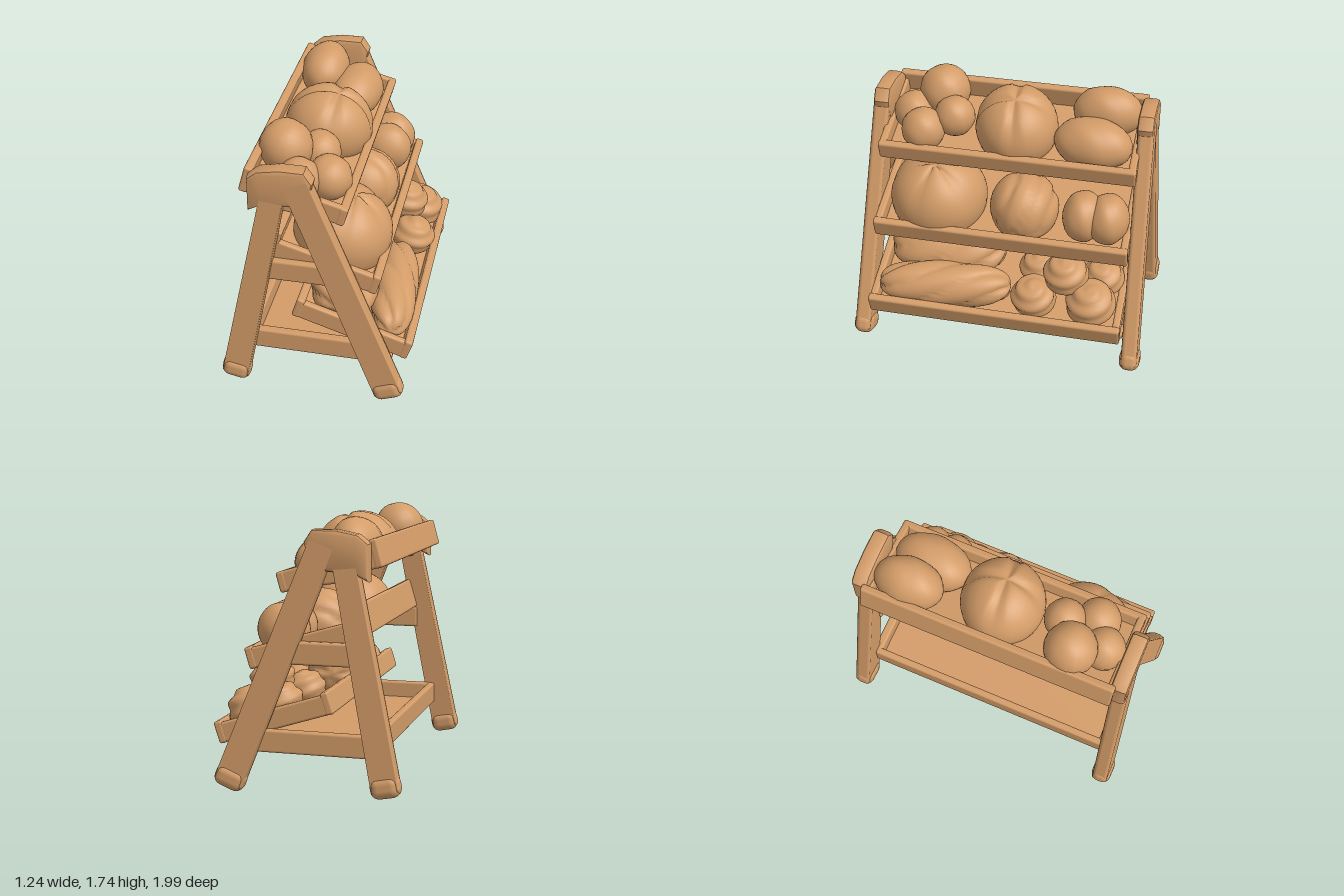
import * as THREE from 'three';
import { mergeVertices, toCreasedNormals } from 'three/addons/utils/BufferGeometryUtils.js';
import { RoundedBoxGeometry } from 'three/addons/geometries/RoundedBoxGeometry.js';

const clay = new THREE.MeshStandardMaterial({ color: 0xd39c68 });
clay.name = 'warm tan';

function add(parent, name, geometry, x = 0, y = 0, z = 0) {
  const mesh = new THREE.Mesh(geometry, clay);
  mesh.name = name;
  mesh.position.set(x, y, z);
  parent.add(mesh);
  return mesh;
}

const block = (w, h, d, r = 0.016) => new RoundedBoxGeometry(w, h, d, 2, r);

// Tapered leg with a rounded foot, running from point a up to point b
function leg(parent, name, a, b, wide, narrow) {
  const from = new THREE.Vector3(...a), to = new THREE.Vector3(...b);
  const dir = to.clone().sub(from), length = dir.length();
  const group = new THREE.Group();
  group.name = name;
  group.position.copy(from);
  group.quaternion.setFromUnitVectors(new THREE.Vector3(0, 1, 0), dir.normalize());
  const geo = block(1, length, 0.105, 0.025);
  const p = geo.attributes.position;
  for (let i = 0; i < p.count; i++) {
    const t = p.getY(i) / length + 0.5;
    p.setX(i, p.getX(i) * (wide + (narrow - wide) * t));
  }
  add(group, 'legPost', geo, 0, length / 2 + 0.02, 0);
  add(group, 'foot', new RoundedBoxGeometry(wide + 0.015, 0.14, 0.135, 4, 0.055), 0, 0.06, 0);
  parent.add(group);
}

// Sloping tray; x, y is the lower back corner
function tray(parent, name, x, y, angle, length, back, front) {
  const group = new THREE.Group();
  group.name = name;
  group.position.set(x, y, 0);
  group.rotation.z = -angle;
  add(group, 'trayFloor', block(length - 0.02, 0.035, 1.67, 0.01), length / 2, 0.02, 0);
  add(group, 'backBoard', block(0.055, back, 1.7), 0.0275, back / 2, 0);
  add(group, 'frontBoard', block(0.055, front, 1.7), length - 0.0275, front / 2, 0);
  for (const s of [-1, 1]) add(group, 'endBoard', block(length - 0.03, 0.13, 0.05), length / 2, 0.066, s * 0.822);
  parent.add(group);
  return group;
}

// Unit ball swollen or cut by a rule, scaled to its radii and cut flat where it rests on the tray
function bread(parent, name, pos, radii, rule, spin = 0, detail = 28, floor = 0.025) {
  let geo = new THREE.SphereGeometry(1, detail, Math.round(detail * 0.75));
  geo.deleteAttribute('uv');
  geo.deleteAttribute('normal');
  geo = mergeVertices(geo, 1e-4);
  const local = parent.worldToLocal(new THREE.Vector3(...pos));
  const p = geo.attributes.position, v = new THREE.Vector3();
  for (let i = 0; i < p.count; i++) {
    v.fromBufferAttribute(p, i);
    v.multiplyScalar(rule(v.x, v.y, v.z));
    p.setXYZ(i, v.x * radii[0], Math.max(v.y * radii[1], floor - local.y), v.z * radii[2]);
  }
  geo.computeVertexNormals();
  add(parent, name, geo, local.x, local.y, local.z).rotation.y = spin;
}

// Crust rules
const groove = (d, w) => Math.exp(-(d * d) / (w * w));
const lumpy = (x, y, z) => 1 + 0.025 * Math.sin(4 * x + 2 * z) * Math.cos(5 * z - y);
const crossCut = (x, y, z) => 1.01 - (y > 0.1 ? 0.1 * Math.max(groove(x + 0.25 * z, 0.1), groove(z - 0.25 * x, 0.1)) * Math.min(1, y * 1.6) : 0);
const starCut = (x, y, z) => 0.98 + (y > 0 ? 0.07 * y * Math.pow(Math.abs(Math.cos(2.5 * Math.atan2(z, x))), 0.6) : 0);
const slashed = (x, y, z) => 1 - (y > -0.2 ? 0.07 * Math.pow(0.5 + 0.5 * Math.cos(9 * (z + 0.45 * y - 0.3 * x)), 4) : 0);
const twisted = (x, y, z) => {
  const r = Math.hypot(x, y);
  const blunt = Math.pow(Math.pow(r, 2.7) + Math.pow(Math.abs(z), 2.7), -1 / 2.7);
  const wave = Math.pow(Math.abs(Math.cos(2.5 * Math.atan2(y, x) + 4 * z)), 0.6);
  return blunt * (0.99 - 0.12 * (1 - wave) * Math.min(1, r * 1.5));
};
const swirl = (x, y, z) => {
  const rho = Math.acos(Math.max(-1, Math.min(1, y)));
  return 0.98 + (rho < 1.9 ? 0.05 * Math.cos(Math.atan2(z, x) - 9 * rho) * Math.min(1, rho * 2) : 0);
};

export function createModel() {
  const model = new THREE.Group();
  model.name = 'breadRack';

  // End frames
  const capShape = new THREE.Shape([[-0.39, 1.345], [-0.385, 1.54], [-0.33, 1.585], [-0.2, 1.61], [-0.06, 1.61], [-0.02, 1.55],
    [-0.05, 1.42], [-0.12, 1.4], [-0.32, 1.385]].map(([x, y]) => new THREE.Vector2(x, y)));
  for (const s of [-1, 1]) {
    const side = new THREE.Group();
    side.name = s > 0 ? 'leftFrame' : 'rightFrame';
    leg(side, 'backLeg', [-0.53, 0.025, s * 0.93], [-0.235, 1.51, s * 0.87], 0.175, 0.145);
    leg(side, 'frontLeg', [0.502, 0.015, s * 0.922], [-0.11, 1.54, s * 0.875], 0.185, 0.165);
    const cap = new THREE.ExtrudeGeometry(capShape, { depth: 0.06, bevelSize: 0.02, bevelThickness: 0.025, bevelSegments: 2 });
    add(side, 'topJoint', toCreasedNormals(cap, 0.7), 0, 0, s * 0.872 - 0.03);
    add(side, 'upperCrossbar', block(0.3, 0.1, 0.05), -0.14, 1.345, s * 0.835).rotation.z = -0.16;
    add(side, 'middleCrossbar', block(0.46, 0.145, 0.06), -0.09, 0.868, s * 0.86);
    add(side, 'lowerCrossbar', block(0.82, 0.145, 0.06), -0.03, 0.305, s * 0.86);
    model.add(side);
  }

  // Base shelf
  add(model, 'basePanel', block(0.92, 0.035, 1.72, 0.01), 0.03, 0.248, 0);
  add(model, 'baseBackRail', block(0.05, 0.145, 1.74), -0.425, 0.305, 0);

  // Trays
  const top = tray(model, 'topTray', -0.48, 1.41, 0.27, 0.675, 0.18, 0.13);
  const middle = tray(model, 'middleTray', -0.32, 0.948, 0.285, 0.725, 0.205, 0.14);
  const bottom = tray(model, 'bottomTray', -0.17, 0.495, 0.31, 0.79, 0.145, 0.145);
  model.updateMatrixWorld(true);

  // Top tray breads
  for (const [x, y, z, r] of [[-0.26, 1.55, 0.5, 0.17], [-0.07, 1.47, 0.39, 0.135], [0.03, 1.405, 0.58, 0.145], [-0.14, 1.43, 0.68, 0.14]])
    bread(top, 'bun', [x, y, z], [r, r, r], lumpy, z, 20);
  bread(top, 'crossCutLoaf', [-0.1, 1.43, -0.02], [0.285, 0.26, 0.27], crossCut, 0.3, 40);
  bread(top, 'ovalLoaf', [-0.25, 1.52, -0.6], [0.16, 0.175, 0.23], lumpy);
  bread(top, 'ovalLoaf', [-0.02, 1.41, -0.54], [0.175, 0.165, 0.26], lumpy, -0.1);

  // Middle tray breads
  bread(middle, 'starLoaf', [0.09, 0.94, 0.47], [0.325, 0.3, 0.33], starCut, 0.3, 40);
  bread(middle, 'slashedLoaf', [0.12, 0.95, -0.12], [0.24, 0.23, 0.23], slashed, 0.2, 40);
  for (const z of [-0.53, -0.69]) bread(middle, 'doubleBun', [0.2, 0.985, z], [0.17, 0.17, 0.14], lumpy);

  // Bottom tray breads; the rear loaf sags through the tray
  bread(bottom, 'rearTwistLoaf', [0.11, 0.56, 0.4], [0.25, 0.185, 0.4], twisted, 0.05, 48, -0.09);
  bread(bottom, 'frontTwistLoaf', [0.42, 0.445, 0.36], [0.16, 0.15, 0.45], twisted, 0.1, 48);
  for (const [x, y, z, r] of [[0.445, 0.46, -0.25, 0.15], [0.43, 0.46, -0.63, 0.165], [0.36, 0.62, -0.45, 0.15], [0.22, 0.52, -0.68, 0.14], [0.2, 0.52, -0.25, 0.14]])
    bread(bottom, 'swirlRoll', [x, y, z], [r, r * 0.9, r], swirl, z * 4, 36);

  return model;
}
